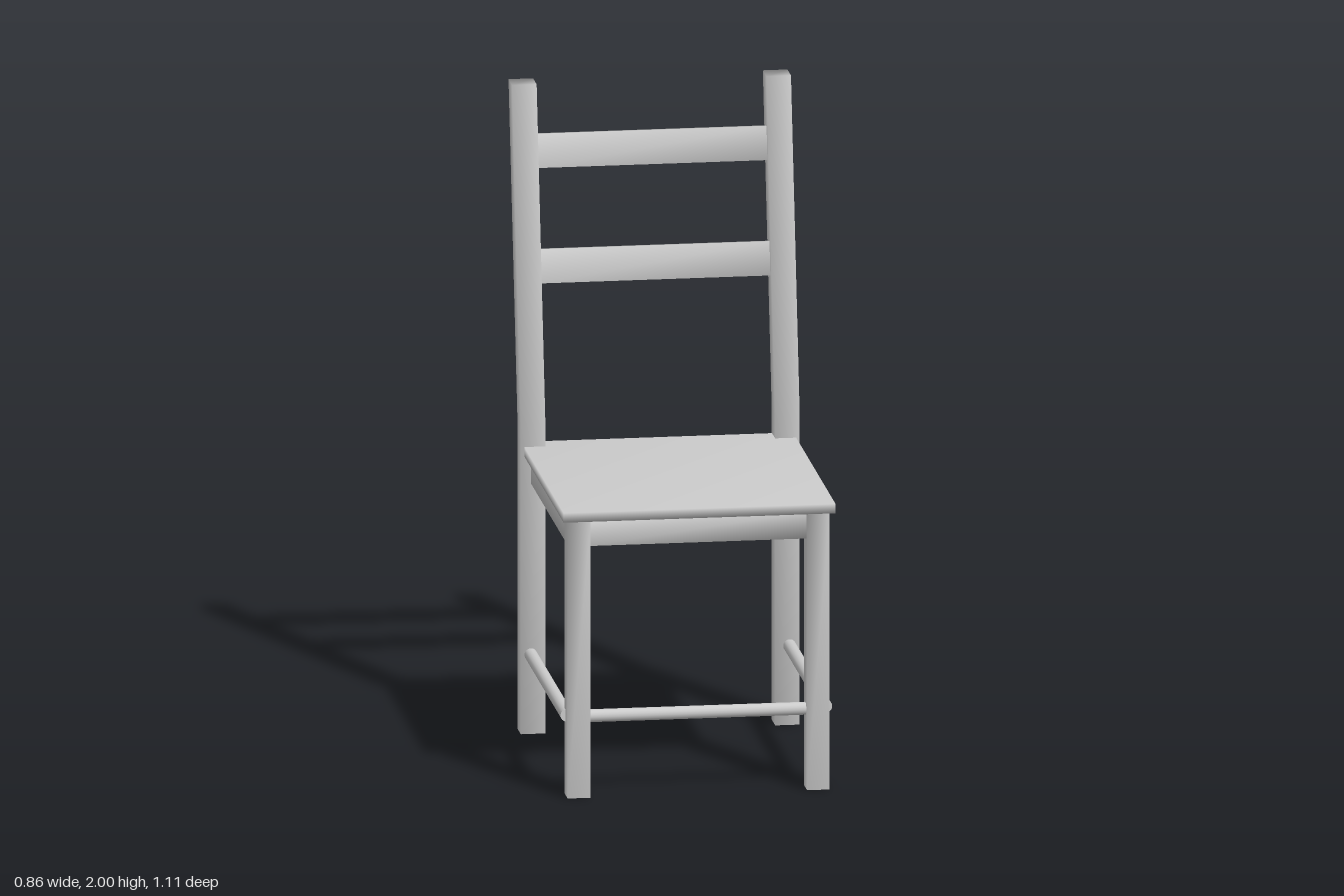
import * as THREE from 'three';
import { mergeVertices } from 'three/addons/utils/BufferGeometryUtils.js';

const material = new THREE.MeshStandardMaterial({ color: 0xcccccc });

// Weld corners so shading rolls softly over the edges
function soften(geometry) {
  geometry.deleteAttribute('uv');
  geometry.deleteAttribute('normal');
  const welded = mergeVertices(geometry, 1e-4);
  welded.computeVertexNormals();
  return welded;
}

export function createModel() {
  const chair = new THREE.Group();
  chair.name = 'chair';

  function add(name, geometry, x, y, z) {
    const mesh = new THREE.Mesh(geometry, material);
    mesh.name = name;
    mesh.position.set(x, y, z);
    chair.add(mesh);
    return mesh;
  }
  const box = (name, w, h, d, x, y, z) =>
    add(name, soften(new THREE.BoxGeometry(w, h, d)), x, y, z);
  const rod = (length) => new THREE.CylinderGeometry(0.02, 0.02, length, 16);

  // Seat board
  box('seat', 0.84, 0.03, 0.912, 0, 0.89, 0.099);

  // Back leg profile (z, y): upright below, leaning back above the seat
  const profile = new THREE.Shape([
    [-0.365, 0], [-0.29, 0], [-0.29, 0.975], [-0.478, 2], [-0.555, 2], [-0.365, 0.985],
  ].map(([z, y]) => new THREE.Vector2(z, y)));
  const backLeg = new THREE.ExtrudeGeometry(profile, { depth: 0.076, bevelEnabled: false });
  backLeg.translate(0, 0, -0.038).rotateY(-Math.PI / 2);
  const backLegGeometry = soften(backLeg);

  for (const [side, s] of [['left', 1], ['right', -1]]) {
    add(side + 'BackLeg', backLegGeometry, s * 0.393, 0, 0);
    box(side + 'FrontLeg', 0.07, 0.875, 0.07, s * 0.37, 0.4375, 0.5);
    box(side + 'Apron', 0.04, 0.085, 0.77, s * 0.38, 0.8325, 0.09);
    // Side stretcher between front and back legs
    add(side + 'Stretcher', rod(0.79), s * 0.4, 0.25, 0.09).rotation.x = Math.PI / 2;
  }

  // Front and back aprons, front stretcher
  box('frontApron', 0.69, 0.085, 0.04, 0, 0.8325, 0.5);
  box('backApron', 0.72, 0.085, 0.04, 0, 0.8325, -0.328);
  add('frontStretcher', rod(0.69), 0, 0.25, 0.5).rotation.z = Math.PI / 2;

  // Backrest slats, tilted with the back legs
  for (const [name, y, z] of [['upperSlat', 1.79, -0.481], ['lowerSlat', 1.442, -0.4175]]) {
    box(name, 0.72, 0.105, 0.03, 0, y, z).rotation.x = -Math.atan(0.186);
  }

  return chair;
}
